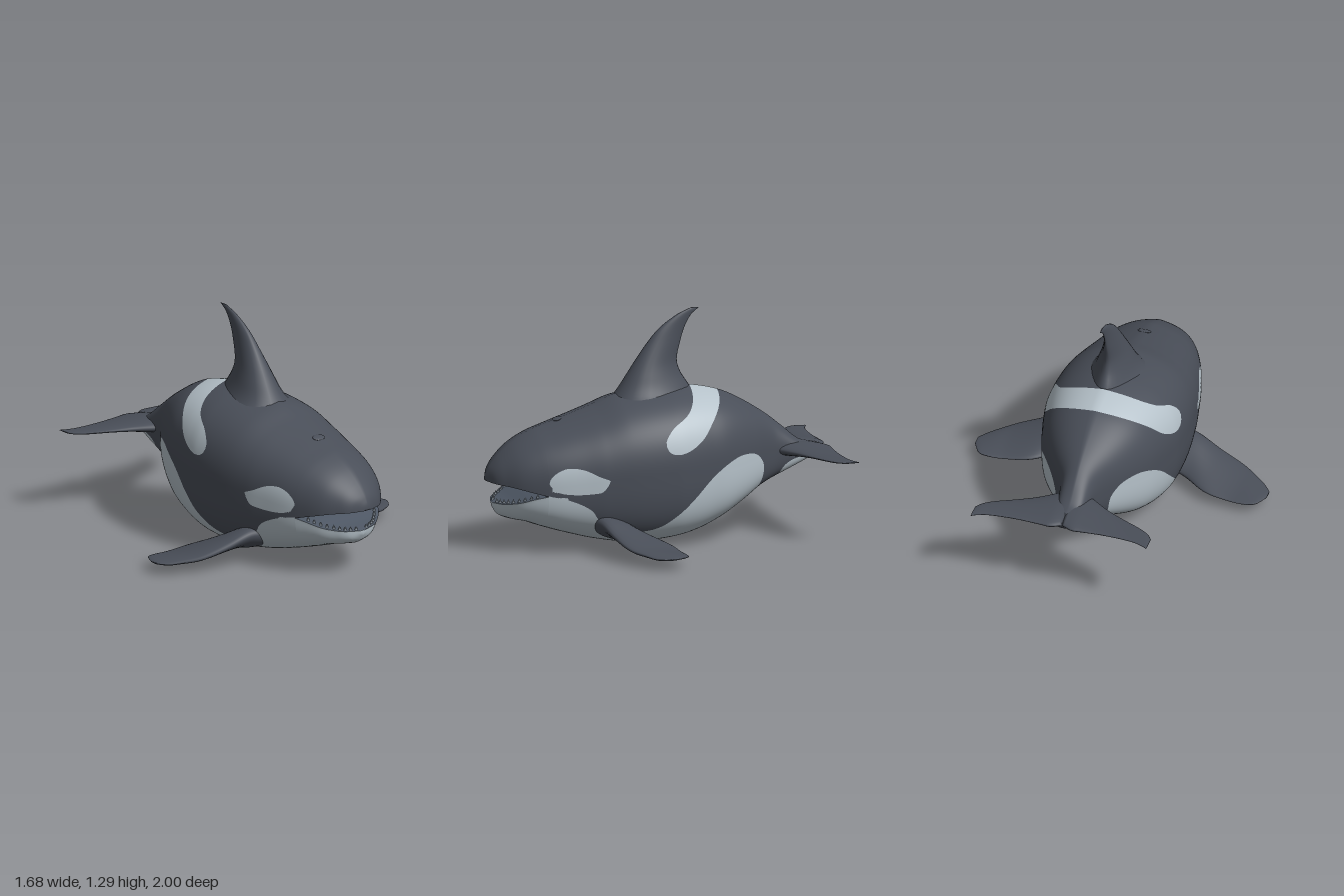
import * as THREE from 'three';

const mat = (name, color) => Object.assign(new THREE.MeshStandardMaterial({ color }), { name });

// Smooth curve through [x, y] points with rising x
const profile = pts => x => {
  const n = pts.length - 1;
  let i = 0;
  while (i < n - 1 && x > pts[i + 1][0]) i++;
  const slope = k => {
    const a = pts[Math.max(k - 1, 0)], b = pts[Math.min(k + 1, n)];
    return (b[1] - a[1]) / (b[0] - a[0]);
  };
  const [x0, y0] = pts[i], [x1, y1] = pts[i + 1], h = x1 - x0;
  const t = Math.min(1, Math.max(0, (x - x0) / h)), t2 = t * t, t3 = t2 * t;
  return y0 * (2 * t3 - 3 * t2 + 1) + y1 * (3 * t2 - 2 * t3)
    + h * (slope(i) * (t3 - 2 * t2 + t) + slope(i + 1) * (t3 - t2));
};

// Skin over closed rings of points; the chosen ends are capped
function loft(rings, capStart, capEnd) {
  const centre = r => {
    const c = r.reduce((s, p) => s.add(p), new THREE.Vector3()).divideScalar(r.length);
    return r.map(() => c);
  };
  const all = [...(capStart ? [centre(rings[0])] : []), ...rings, ...(capEnd ? [centre(rings.at(-1))] : [])];
  const m = all[0].length, pts = all.flat(), index = [];
  let volume = 0;
  const tri = (a, b, c) => {
    index.push(a, b, c);
    volume += pts[a].dot(new THREE.Vector3().crossVectors(pts[b], pts[c]));
  };
  for (let i = 0; i < all.length - 1; i++) for (let j = 0; j < m; j++) {
    const k = (j + 1) % m, a = i * m + j, b = i * m + k, c = a + m, d = b + m;
    tri(a, b, c);
    tri(b, d, c);
  }
  if (volume < 0) index.reverse();
  const g = new THREE.BufferGeometry().setFromPoints(pts);
  g.setIndex(index);
  g.computeVertexNormals();
  return g;
}

// Cut a geometry in two along the zero line of a field
function split(geo, field) {
  const g = geo.toNonIndexed(), P = g.attributes.position, N = g.attributes.normal;
  const sides = [{ p: [], n: [] }, { p: [], n: [] }];
  for (let i = 0; i < P.count; i += 3) {
    const v = [0, 1, 2].map(k => {
      const p = new THREE.Vector3().fromBufferAttribute(P, i + k);
      const n = new THREE.Vector3().fromBufferAttribute(N, i + k);
      return { p, n, f: field(p, n) };
    });
    sides.forEach((side, s) => {
      const inside = q => (q.f > 0) === (s === 1), poly = [];
      v.forEach((a, k) => {
        const b = v[(k + 1) % 3];
        if (inside(a)) poly.push(a);
        if (inside(a) !== inside(b)) {
          const t = a.f / (a.f - b.f);
          poly.push({ p: a.p.clone().lerp(b.p, t), n: a.n.clone().lerp(b.n, t).normalize() });
        }
      });
      for (let k = 1; k < poly.length - 1; k++) for (const q of [poly[0], poly[k], poly[k + 1]]) {
        side.p.push(...q.p.toArray());
        side.n.push(...q.n.toArray());
      }
    });
  }
  return sides.map(s => new THREE.BufferGeometry()
    .setAttribute('position', new THREE.Float32BufferAttribute(s.p, 3))
    .setAttribute('normal', new THREE.Float32BufferAttribute(s.n, 3)));
}

// Body profiles along z
const top = profile([[-0.925, 0.475], [-0.85, 0.496], [-0.79, 0.515], [-0.7, 0.59], [-0.6, 0.67], [-0.45, 0.765], [-0.33, 0.82],
  [-0.17, 0.855], [0, 0.86], [0.25, 0.83], [0.4, 0.775], [0.5, 0.74], [0.65, 0.69], [0.75, 0.655], [0.85, 0.6], [0.93, 0.53], [0.98, 0.465], [1, 0.42]]);
const bottom = profile([[-0.925, 0.442], [-0.85, 0.402], [-0.7, 0.33], [-0.55, 0.26], [-0.45, 0.195], [-0.3, 0.105], [-0.15, 0.04],
  [0, 0.01], [0.2, 0], [0.4, 0.03], [0.6, 0.085], [0.8, 0.15], [0.9, 0.17], [0.97, 0.2], [1, 0.24]]);
const width = profile([[-0.925, 0.03], [-0.8, 0.07], [-0.65, 0.1], [-0.6, 0.125], [-0.5, 0.2], [-0.4, 0.265], [-0.3, 0.315],
  [-0.2, 0.345], [-0.1, 0.37], [0, 0.388], [0.2, 0.388], [0.4, 0.365], [0.5, 0.345], [0.65, 0.31], [0.75, 0.275], [0.85, 0.225], [0.92, 0.165], [0.97, 0.105], [1, 0.025]]);
const middle = profile([[-0.925, 0.463], [-0.8, 0.465], [-0.5, 0.48], [-0.1, 0.46], [0.3, 0.43], [0.7, 0.385], [0.9, 0.375], [1, 0.37]]);
const upperLip = profile([[0.72, 0.335], [0.8, 0.355], [0.9, 0.378], [1, 0.388]]);
const lowerLip = profile([[0.72, 0.335], [0.8, 0.316], [0.9, 0.285], [1, 0.265]]);
const MOUTH = 0.72, UP = 2.2, DOWN = 3, KEEL = 0.16;
const jawZ = z => MOUTH + (z - MOUTH) * 0.87;

// One softly keeled body cross-section, flattened between the heights lo and hi
function section(z, lo = -9, hi = 9, zOut = z) {
  const ring = [], m = middle(z), w = width(z);
  for (let j = 0; j < 96; j++) {
    const a = j / 96 * Math.PI * 2, c = Math.cos(a), s = Math.sin(a);
    const e = 2 / (s > 0 ? UP : DOWN), h = s > 0 ? top(z) - m : m - bottom(z);
    const q = Math.abs(c) ** e, r = Math.abs(s) ** e;
    const y = m + h * Math.sign(s) * r * (1 - KEEL * q * (1 - q));
    ring.push(new THREE.Vector3(w * Math.sign(c) * q, Math.min(hi, Math.max(lo, y)), zOut));
  }
  return ring;
}
const steps = (a, b, n, f) => Array.from({ length: n + 1 }, (_, i) => f(a + (b - a) * i / n));

// Fin rows: span, leading edge, trailing edge, half thickness, then extras
function fin(rows, place) {
  const cols = rows[0].slice(1).map((_, k) => profile(rows.map(r => [r[0], r[k + 1]])));
  return loft(steps(rows[0][0], rows.at(-1)[0], 36, s => {
    const [lead, trail, thick, ...extra] = cols.map(f => f(s));
    return steps(0, 23 / 24, 23, u => {
      const a = u * Math.PI * 2, c = (1 - Math.cos(a)) / 2;
      return place(s, lead + (trail - lead) * c, thick * Math.sin(a) * (1.3 - 0.6 * c), c, extra);
    });
  }), true, true);
}

// Side-on outlines (z, y) of the pale markings
const outline = pts => new THREE.CatmullRomCurve3(pts.map(p => new THREE.Vector3(p[0], p[1], 0)), true).getPoints(90);
const markings = [
  [[0.718, 0.41], [0.69, 0.455], [0.62, 0.49], [0.53, 0.482], [0.45, 0.445], [0.38, 0.415], [0.365, 0.395], [0.41, 0.362], [0.55, 0.345], [0.67, 0.36]],
  [[0.07, 0.61], [0.05, 0.56], [0, 0.545], [-0.07, 0.56], [-0.15, 0.61], [-0.22, 0.69], [-0.33, 0.82], [-0.38, 0.9], [-0.2, 0.9], [-0.165, 0.845], [-0.13, 0.79], [-0.08, 0.74], [0.02, 0.68]],
  [[0.76, 0.34], [0.7, 0.334], [0.6, 0.31], [0.49, 0.255], [0.44, 0.19], [0.33, 0.13], [0.2, 0.115], [0.1, 0.135], [0, 0.2], [-0.1, 0.29], [-0.2, 0.39], [-0.3, 0.46],
    [-0.4, 0.495], [-0.5, 0.48], [-0.55, 0.42], [-0.55, 0.34], [-0.51, 0.24], [-0.45, 0.1], [-0.3, -0.1], [0.7, -0.1], [0.9, 0.1]],
  [[-0.67, 0.29], [-0.68, 0.36], [-0.72, 0.4], [-0.79, 0.422], [-0.85, 0.42], [-0.86, 0.38], [-0.8, 0.3]]
].map(outline);

// Signed distance to the nearest marking, positive inside it
function marking({ z, y }) {
  return Math.max(...markings.map(poly => {
    let best = 9, inside = false;
    for (let i = 0, j = poly.length - 1; i < poly.length; j = i++) {
      const a = poly[i], b = poly[j], dx = b.x - a.x, dy = b.y - a.y;
      if ((a.y > y) !== (b.y > y) && z < a.x + dx * (y - a.y) / dy) inside = !inside;
      const t = Math.min(1, Math.max(0, ((z - a.x) * dx + (y - a.y) * dy) / (dx * dx + dy * dy || 1)));
      best = Math.min(best, Math.hypot(z - a.x - t * dx, y - a.y - t * dy));
    }
    return inside ? best : -best;
  }));
}

export function createModel() {
  const group = new THREE.Group();
  const dark = mat('darkSkin', 0x494e58), pale = mat('paleSkin', 0xb6c2ca);
  const inner = mat('mouthLining', 0x4d5663), ivory = mat('teeth', 0x8a949e);
  const add = (name, geo, material) => {
    const mesh = new THREE.Mesh(geo, material);
    mesh.name = name;
    group.add(mesh);
    return mesh;
  };

  // Body with its markings
  const [skin, patches] = split(loft(steps(-0.925, MOUTH, 130, z => section(z)), true, false), marking);
  add('body', skin, dark);
  add('paleMarkings', patches, pale);

  // Jaws and mouth lining
  const [snout, palate] = split(loft(steps(MOUTH, 1, 40, z => section(z, upperLip(z))), false, true), (p, n) => -n.y - 0.85);
  add('upperJaw', snout, dark);
  add('palate', palate, inner);
  const [jaw, floor] = split(loft(steps(MOUTH, 1, 40, z => section(z, -9, lowerLip(z), jawZ(z))), false, true), (p, n) => n.y - 0.8);
  add('lowerJaw', jaw, pale);
  add('mouthFloor', floor, inner);

  // Lower teeth along the lip
  const toothGeo = new THREE.ConeGeometry(0.012, 0.03, 6);
  for (const side of [-1, 1]) for (const z of [0.79, 0.825, 0.86, 0.89, 0.92, 0.945, 0.965, 0.98, 0.992]) {
    const y = lowerLip(z), m = middle(z);
    const x = width(z) * (1 - ((m - y) / (m - bottom(z))) ** DOWN) ** (1 / DOWN);
    add('tooth', toothGeo, ivory).position.set(side * x * 0.91, y + 0.011, jawZ(z) - 0.012);
  }

  // Blowhole
  const blowhole = add('blowhole', new THREE.SphereGeometry(1, 20, 10), dark);
  blowhole.scale.set(0.04, 0.006, 0.025);
  blowhole.position.set(0, 0.708, 0.59);
  blowhole.rotation.x = 0.33;

  // Dorsal fin
  add('dorsalFin', fin([[0.7, 0.32, -0.2, 0.26], [0.76, 0.3, -0.2, 0.2], [0.81, 0.265, -0.19, 0.145], [0.86, 0.23, -0.165, 0.112], [0.93, 0.185, -0.12, 0.085],
    [1, 0.14, -0.1, 0.063], [1.1, 0.07, -0.12, 0.038], [1.18, 0, -0.145, 0.022], [1.25, -0.1, -0.185, 0.01], [1.285, -0.18, -0.23, 0.003]],
  (s, chord, t) => new THREE.Vector3(t, s, chord)), dark);

  // Flippers (extras: height, tilt) and tail flukes
  for (const side of [-1, 1]) {
    add('flipper', fin([[0.21, 0.48, 0.24, 0.05, 0.13, 0.06], [0.3, 0.468, 0.2, 0.06, 0.135, 0.08], [0.37, 0.445, 0.17, 0.052, 0.13, 0.09], [0.5, 0.41, 0.09, 0.034, 0.1, 0.06],
      [0.65, 0.365, 0.065, 0.022, 0.073, 0.03], [0.75, 0.3, 0.06, 0.016, 0.065, 0.01], [0.8, 0.26, 0.08, 0.012, 0.062, 0], [0.838, 0.21, 0.15, 0.005, 0.062, 0]],
    (s, chord, t, c, [y, tilt]) => new THREE.Vector3(side * s, y + t + tilt * (0.5 - c), chord)), dark);
    add('fluke', fin([[0, -0.64, -0.932, 0.036], [0.06, -0.64, -0.962, 0.036], [0.11, -0.67, -0.96, 0.031], [0.2, -0.73, -0.955, 0.021], [0.3, -0.78, -0.955, 0.013],
      [0.42, -0.835, -0.965, 0.008], [0.48, -0.875, -0.985, 0.006], [0.505, -0.91, -1, 0.003]],
    (s, chord, t) => new THREE.Vector3(side * s, 0.466 + t, chord)), dark);
  }
  return group;
}
